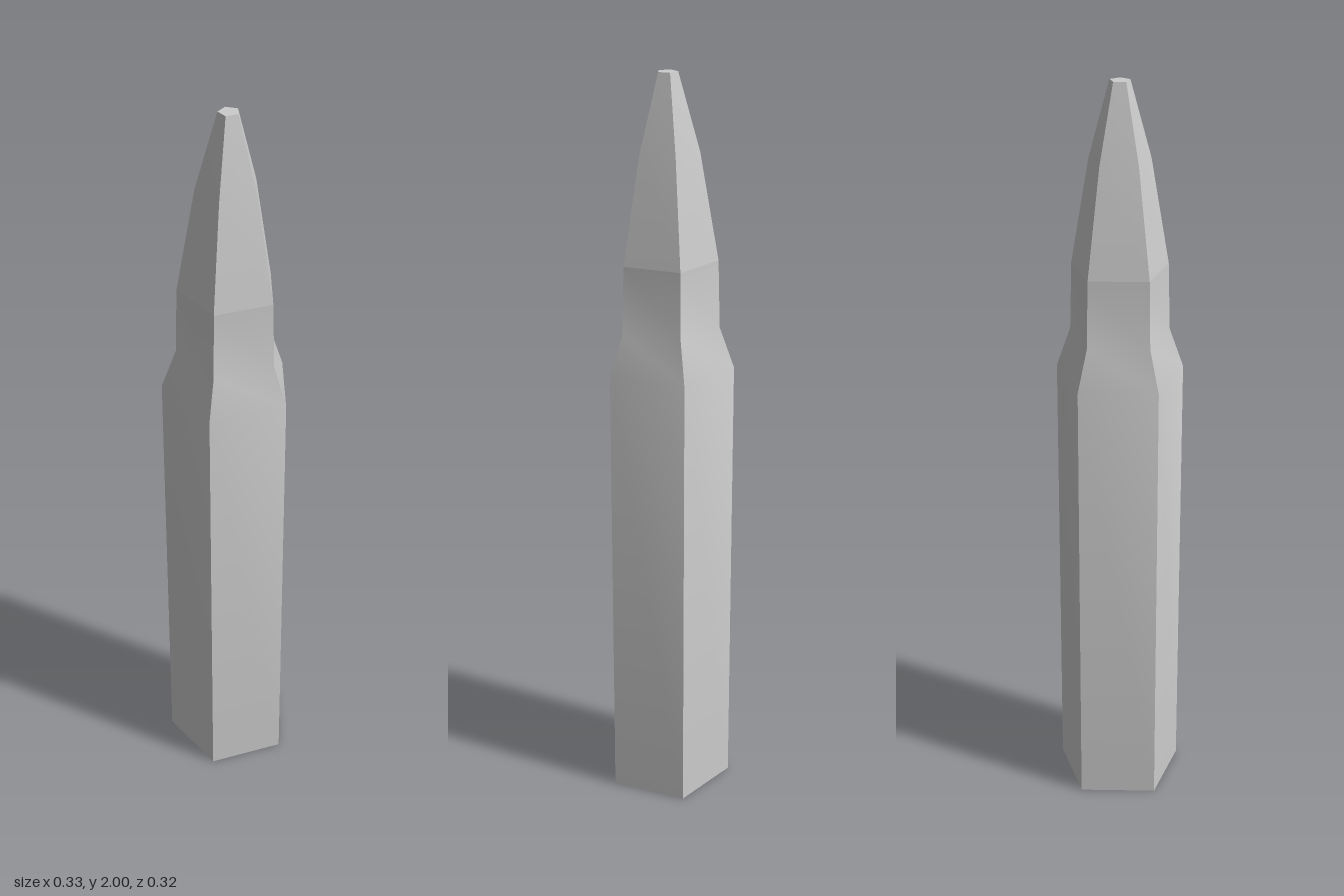
import * as THREE from 'three';
import { toCreasedNormals } from 'three/addons/utils/BufferGeometryUtils.js';

const SIDES = 5;
const material = new THREE.MeshStandardMaterial({ color: 0xcccccc });

// Five-sided lathe: soft along each side, sharp along the corners.
function facetedPart(name, profile) {
  const points = profile.map(([r, y]) => new THREE.Vector2(r, y));
  const geometry = toCreasedNormals(new THREE.LatheGeometry(points, SIDES), 0.6);
  const mesh = new THREE.Mesh(geometry, material);
  mesh.name = name;
  return mesh;
}

export function createModel() {
  const group = new THREE.Group();
  group.name = 'cartridge';

  // Straight case with closed base, sloped shoulder and neck
  group.add(facetedPart('case', [
    [0, 0], [0.176, 0], [0.176, 1.23], [0.137, 1.34], [0.132, 1.52],
  ]));

  // Tapered nose with a small flat tip
  group.add(facetedPart('nose', [
    [0.132, 1.52], [0.083, 1.8], [0.027, 2], [0, 2],
  ]));

  // One corner points almost straight back; the axis sits slightly off the bounds' centre
  for (const part of group.children) {
    part.rotation.y = Math.PI - 0.049;
    part.position.set(-0.004, 0, 0.013);
  }
  return group;
}
